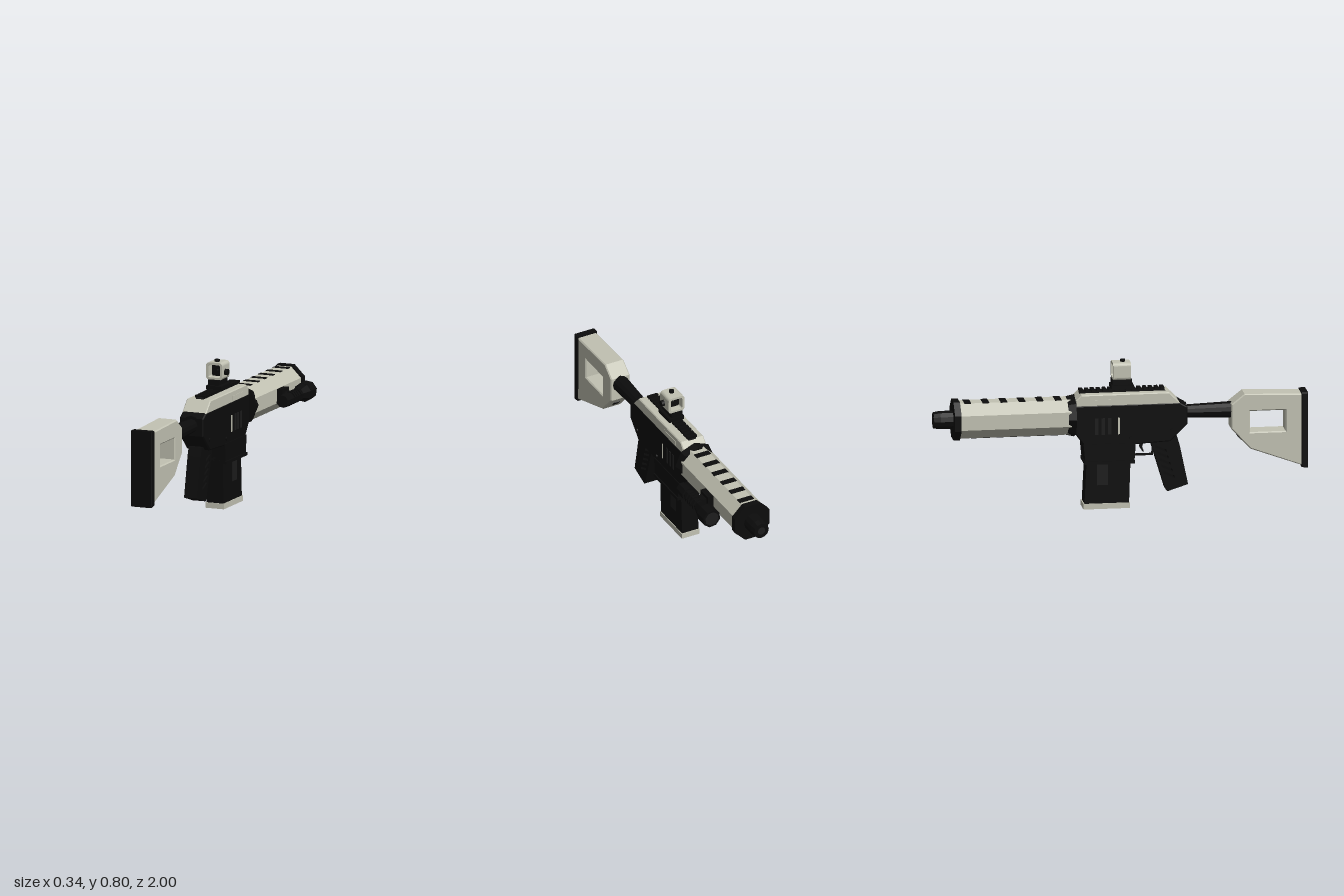
import * as THREE from 'three';

const CX = -0.058, AXIS = 0.505;   // centre plane and bore height

export function createModel() {
  const root = new THREE.Group();
  const paint = (name, color) => {
    const m = new THREE.MeshStandardMaterial({ color });
    m.name = name;
    return m;
  };
  const light = paint('warm grey', 0xc2c2b3);
  const black = paint('matte black', 0x0c0c0c);
  const dark = paint('charcoal', 0x1c1c1c);

  const add = (name, geo, mat) => {
    const m = new THREE.Mesh(geo, mat);
    m.name = name;
    root.add(m);
    return m;
  };
  // box from extents; x is relative to the centre plane
  const box = (name, mat, x0, x1, y0, y1, z0, z1) => {
    const m = add(name, new THREE.BoxGeometry(x1 - x0, y1 - y0, z1 - z0), mat);
    m.position.set(CX + (x0 + x1) / 2, (y0 + y1) / 2, (z0 + z1) / 2);
    return m;
  };
  // faceted round part along z, from rear radius to front radius
  const round = (name, mat, rRear, rFront, zRear, zFront, sides = 8, turn = Math.PI / 8, x = CX, y = AXIS) => {
    let g = new THREE.CylinderGeometry(rRear, rFront, zRear - zFront, sides);
    g.rotateY(turn).rotateX(Math.PI / 2);
    g = g.toNonIndexed();
    g.computeVertexNormals();
    const m = add(name, g, mat);
    m.position.set(x, y, (zRear + zFront) / 2);
  };
  const path = (pts, Type = THREE.Shape) => new Type(pts.map(p => new THREE.Vector2(p[0], p[1])));
  // side profile of [z, y] points given a width across x
  const slab = (name, mat, pts, width, holes = [], bevel = 0) => {
    const s = path(pts);
    holes.forEach(h => s.holes.push(path(h, THREE.Path)));
    const g = new THREE.ExtrudeGeometry(s, {
      depth: width - 2 * bevel, bevelEnabled: bevel > 0, bevelSize: bevel,
      bevelThickness: bevel, bevelOffset: -bevel, bevelSegments: 1,
    });
    g.translate(0, 0, -width / 2 + bevel).rotateY(-Math.PI / 2);
    add(name, g, mat).position.x = CX;
  };

  // Stock with its window and butt pad
  slab('stock', light, [[0.967, 0.2], [0.967, 0.59], [0.66, 0.6], [0.59, 0.545], [0.59, 0.41], [0.69, 0.3]], 0.112,
    [[[0.69, 0.39], [0.88, 0.39], [0.88, 0.505], [0.69, 0.505]]], 0.006);
  slab('buttPad', black, [[0.965, 0.19], [1, 0.185], [1, 0.597], [0.965, 0.597]], 0.122, [], 0.004);
  const socket = box('stockSocket', black, -0.016, 0.016, -0.003, 0.003, -0.018, 0.018);
  socket.position.set(CX, 0.354, 0.639);
  socket.rotation.x = Math.atan2(0.11, 0.1);

  // Tube joining stock and receiver
  round('stockTube', black, 0.046, 0.036, 0.6, 0.34, 12, 0);
  round('tubeRing', black, 0.053, 0.053, 0.352, 0.325, 12, 0);
  round('tubeNeck', black, 0.045, 0.055, 0.33, 0.29, 12, 0);

  // Lower receiver and magazine well
  slab('receiver', black, [[0.31, 0.57], [0.352, 0.545], [0.352, 0.45], [0.26, 0.36], [0.07, 0.35],
    [-0.2, 0.35], [-0.25, 0.42], [-0.25, 0.57]], 0.138, [], 0.006);
  slab('magazineWell', black, [[0.068, 0.262], [0.075, 0.36], [-0.205, 0.36], [-0.195, 0.262]], 0.146);
  box('wellRim', black, -0.08, 0.08, 0.25, 0.266, -0.2, 0.07);
  for (const s of [-1, 1]) {
    const plate = (name, mat, y0, y1, z0, z1, x = 0.069) => {
      const a = s * x, b = s * (x + 0.003);
      box(name, mat, Math.min(a, b), Math.max(a, b), y0, y1, z0, z1);
    };
    // Side vents, one with bright metal showing
    [-0.065, -0.1, -0.135].forEach(z => plate('sideVent', dark, 0.41, 0.5, z - 0.009, z + 0.009));
    plate('brightVent', light, 0.41, 0.5, -0.021, -0.011);
    plate('portPanel', light, 0.575, 0.6, -0.16, -0.03, 0.068);
    [[0.27, 0.42], [0.05, 0.385]].forEach(([z, y]) => {
      const pin = add('receiverPin', new THREE.CylinderGeometry(0.01, 0.01, 0.008, 8), black);
      pin.rotation.z = Math.PI / 2;
      pin.position.set(CX + s * 0.072, y, z);
    });
    plate('magazinePanel', dark, 0.13, 0.25, -0.13, -0.07, 0.048);
  }

  // Magazine
  slab('magazine', black, [[0.05, 0.26], [0.042, 0.02], [-0.197, 0.02], [-0.185, 0.26]], 0.098);
  box('magazineBase', light, -0.053, 0.053, 0, 0.03, -0.202, 0.046);

  // Upper cover, sloped at the rear
  slab('upperCover', light, [[0.315, 0.565], [0.255, 0.628], [-0.215, 0.628], [-0.245, 0.6], [-0.245, 0.565]],
    0.138, [], 0.005);

  // Top rail with teeth
  slab('rail', black, [[0.245, 0.62], [0.235, 0.638], [-0.215, 0.638], [-0.22, 0.62]], 0.044);
  for (let i = 0; i < 15; i++) {
    const z = 0.225 - i * 0.031;
    box('railTooth', black, -0.029, 0.029, 0.634, 0.647, z - 0.01, z + 0.01);
  }

  // Pistol grip with slanted cutouts
  const slots = [0, 1, 2, 3, 4].map(i => {
    const z = 0.212 + i * 0.011, y = 0.315 - i * 0.036;
    return [[z - 0.027, y + 0.006], [z + 0.032, y - 0.021], [z + 0.032, y - 0.007], [z - 0.027, y + 0.02]];
  });
  slab('grip', black, [[0.3, 0.38], [0.315, 0.33], [0.36, 0.115], [0.25, 0.08], [0.24, 0.09], [0.165, 0.34], [0.165, 0.38]],
    0.076, slots);

  // Trigger and guard
  slab('triggerGuard', black, [[0.185, 0.36], [0.175, 0.275], [0.06, 0.275], [0.06, 0.36]], 0.03,
    [[[0.173, 0.355], [0.165, 0.288], [0.07, 0.288], [0.07, 0.355]]]);
  slab('trigger', black, [[0.13, 0.36], [0.118, 0.32], [0.128, 0.295], [0.12, 0.295], [0.104, 0.32], [0.11, 0.36]], 0.016);

  // Handguard, collar and muzzle
  round('collar', black, 0.116, 0.106, -0.245, -0.287, 8, 0);
  round('handguard', light, 0.103, 0.103, -0.27, -0.87);
  for (let i = 0; i < 6; i++) {
    const z = -0.82 + i * 0.097;
    box('handguardSlot', black, -0.042, 0.042, 0.598, 0.602, z - 0.018, z + 0.018);
  }
  box('handguardUnderStrip', black, -0.034, 0.034, 0.407, 0.412, -0.8, -0.31);
  round('muzzlePlate', black, 0.112, 0.112, -0.862, -0.897);
  round('muzzle', black, 0.05, 0.05, -0.89, -0.965, 12, 0);
  round('muzzleTip', black, 0.05, 0.044, -0.965, -1, 12, 0);
  round('bore', dark, 0.022, 0.022, -0.998, -1.001, 12, 0);

  // Side lamp and its mount
  const lamp = (name, r0, r1, z0, z1, mat = black) => round(name, mat, r0, r1, z0, z1, 8, 0.25, 0.119, 0.503);
  lamp('lampTail', 0.034, 0.038, -0.435, -0.51);
  lamp('lampBody', 0.029, 0.029, -0.5, -0.66);
  [-0.53, -0.555, -0.58, -0.61].forEach(z => lamp('lampRing', 0.037, 0.037, z, z - 0.014));
  lamp('lampFlare', 0.033, 0.05, -0.64, -0.7);
  lamp('lampHead', 0.052, 0.052, -0.7, -0.772);
  lamp('lampLens', 0.04, 0.04, -0.77, -0.774, dark);
  box('lampMountPad', black, 0.09, 0.128, 0.46, 0.542, -0.635, -0.55);
  box('lampMountArm', black, 0.12, 0.165, 0.485, 0.525, -0.62, -0.565);

  // Sight base
  box('sightClamp', black, -0.04, 0.048, 0.645, 0.667, -0.05, 0.07);
  box('sightRiser', black, -0.026, 0.026, 0.66, 0.675, -0.045, 0.06);
  box('sightBase', black, -0.033, 0.033, 0.671, 0.698, -0.045, 0.06);
  // Sight housing: rounded square tube
  const rounded = (Type, h, r) => {
    const s = new Type();
    s.moveTo(h, h - r);
    [[1, 1], [-1, 1], [-1, -1], [1, -1]].forEach(([x, y], i) => {
      const a = i * Math.PI / 2;
      s.absarc(x * (h - r), y * (h - r), r, a, a + Math.PI / 2);
    });
    return s;
  };
  const frame = rounded(THREE.Shape, 0.047, 0.018);
  frame.holes.push(rounded(THREE.Path, 0.034, 0.008));
  const housing = add('sightHousing',
    new THREE.ExtrudeGeometry(frame, { depth: 0.096, bevelEnabled: false, curveSegments: 4 }), light);
  housing.position.set(CX, 0.743, -0.042);
  box('sightPane', black, -0.034, 0.034, 0.709, 0.777, -0.004, 0.004);
  box('sightDot', dark, -0.004, 0.004, 0.739, 0.747, -0.006, 0.006);
  // Adjustment knobs
  const knob = (name, x, y, turn, r) => {
    const k = add(name, new THREE.CylinderGeometry(r, r, 0.02, 10), black);
    k.position.set(x, y, 0.015);
    k.rotation.z = turn;
  };
  knob('topKnob', CX, 0.792, 0, 0.014);
  knob('sideKnob', CX + 0.054, 0.737, Math.PI / 2, 0.017);

  return root;
}
